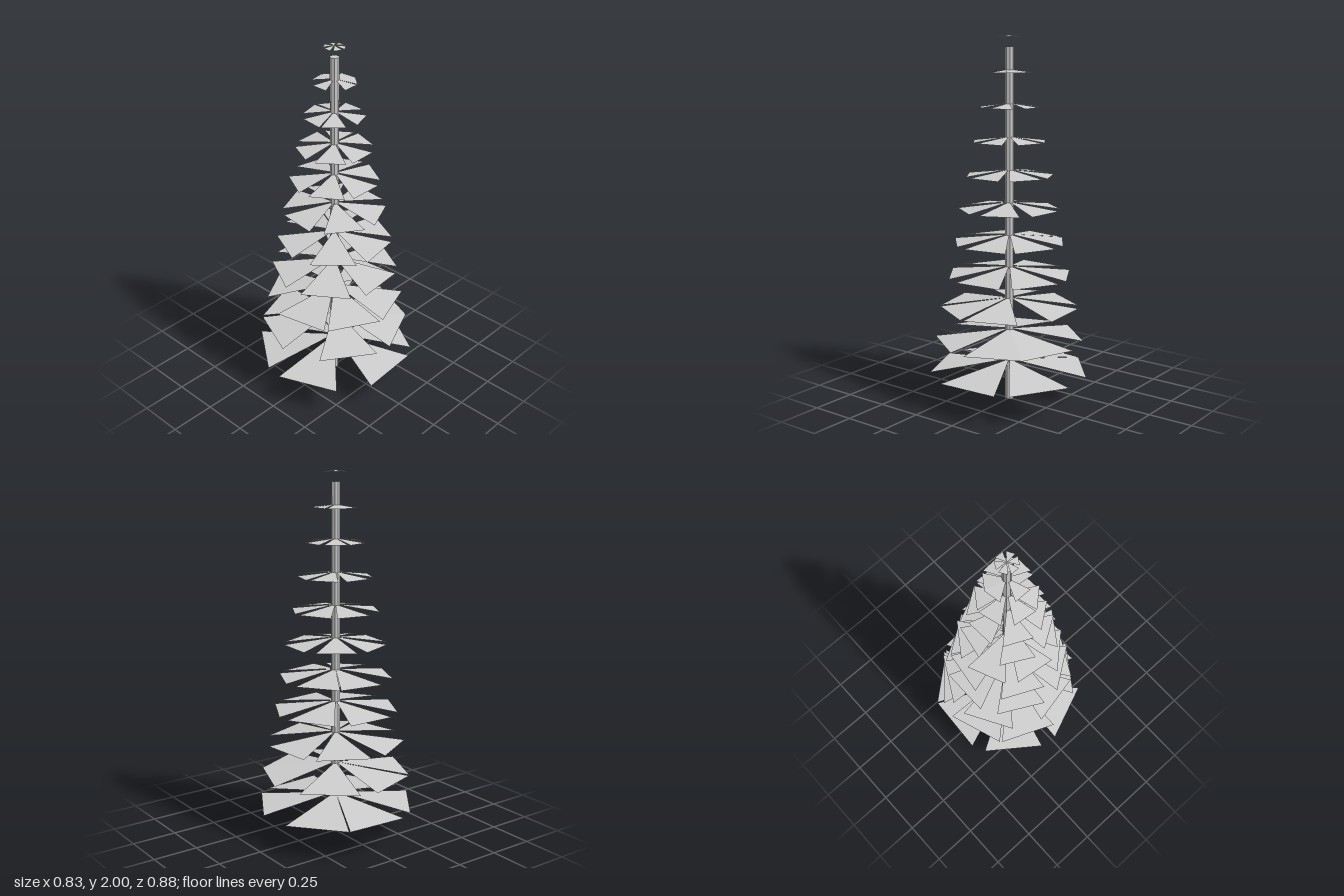
import * as THREE from 'three';

const material = new THREE.MeshStandardMaterial({ color: 0xcccccc, flatShading: true, side: THREE.DoubleSide });

// Branch directions per tier, bottom to top, in degrees from +x towards +z
const tiers = [
  [-176.7, -130, -59.5, -3.5, 68, 126.6],
  [-139.5, -69, -24, 35, 113, 161],
  [-151, -95, -20, 29, 78, 150],
  [-180, -120, -62, -5, 55, 118],
  [-172, -125, -65, -10, 48, 115],
  [-145, -85, -25, 35, 97, 157],
  [-169, -115, -60, 0, 57, 118],
  [-125, -73, -3, 53, 115, 177],
  [-145, -90, -20, 48, 97, 165],
  [-145, -94, -50, -2, 90, 170],
  [-150, -90, -30, 30, 90, 150],
];
const HALF_ANGLE = 23;

// One tier: flat triangular branches that droop from a shared apex
function createTier(angles, radius) {
  const drop = radius * 0.13;
  const points = [];
  const corner = (degrees) => {
    const a = THREE.MathUtils.degToRad(degrees);
    return [Math.cos(a) * radius, -drop, Math.sin(a) * radius];
  };
  for (const angle of angles) {
    points.push(0, 0, 0, ...corner(angle + HALF_ANGLE), ...corner(angle - HALF_ANGLE));
  }
  const geometry = new THREE.BufferGeometry();
  geometry.setAttribute('position', new THREE.Float32BufferAttribute(points, 3));
  geometry.computeVertexNormals();
  return new THREE.Mesh(geometry, material);
}

export function createModel() {
  const tree = new THREE.Group();
  tree.name = 'tree';

  // Straight trunk, ending below the top tier
  const trunk = new THREE.Mesh(new THREE.CylinderGeometry(0.024, 0.024, 1.94, 8), material);
  trunk.name = 'trunk';
  trunk.position.y = 0.97;
  tree.add(trunk);

  // Evenly spaced tiers that shrink towards the top
  tiers.forEach((angles, i) => {
    const t = i / (tiers.length - 1);
    const tier = createTier(angles, 0.06 + 0.383 * Math.pow(1 - t, 0.8));
    tier.name = `branchTier${i + 1}`;
    tier.position.y = 0.23 + 1.77 * t;
    tree.add(tier);
  });

  return tree;
}
